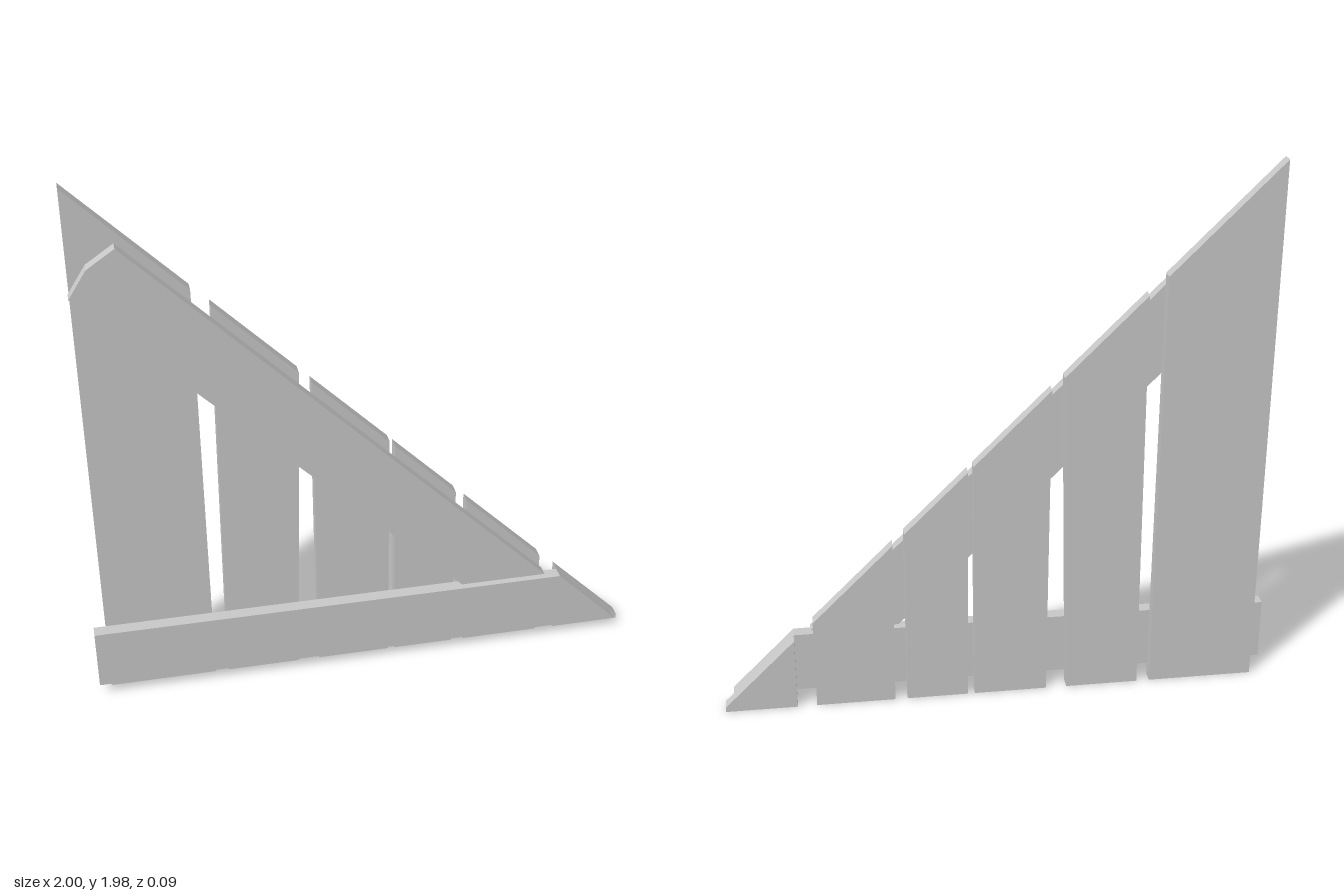
import * as THREE from 'three';

export function createModel() {
  const group = new THREE.Group();
  const grey = new THREE.MeshStandardMaterial({ color: 0xc8c8c8 });
  grey.name = 'plank grey';

  // flat board cut to an outline, extruded from zBack towards the front
  function board(name, points, zBack, depth) {
    const shape = new THREE.Shape(points.map(([x, y]) => new THREE.Vector2(x, y)));
    const geometry = new THREE.ExtrudeGeometry(shape, { depth, bevelEnabled: false });
    geometry.translate(0, 0, zBack);
    const mesh = new THREE.Mesh(geometry, grey);
    mesh.name = name;
    group.add(mesh);
  }

  // upright slats: bottom left, bottom right, top right, top left x;
  // their tops are all cut along the line x + y = 1.018
  const cut = (x) => [x, 1.018 - x];
  const slats = [
    [-0.957, -0.57, -0.575, -0.96],
    [-0.522, -0.255, -0.228, -0.512],
    [-0.178, 0.088, 0.088, -0.185],
    [0.114, 0.337, 0.335, 0.107],
    [0.383, 0.67, 0.67, 0.376],
    [0.74, 1, 1, 0.74],
  ];
  slats.forEach(([bl, br, tr, tl], i) =>
    board(`slat${i + 1}`, [[bl, 0], [br, 0], cut(tr), cut(tl)], -0.045, 0.045));

  // horizontal rail with a slanted end
  board('bottomRail', [[-1, 0.046], [0.97, 0.046], [0.74, 0.277], [-1, 0.277]], 0, 0.047);

  // diagonal brace with a trimmed top end
  board('diagonalBrace',
    [[-0.963, 1.617], [0.36, 0.293], [0.68, 0.293], [-0.805, 1.78], [-0.9, 1.715]], 0, 0.042);

  return group;
}
